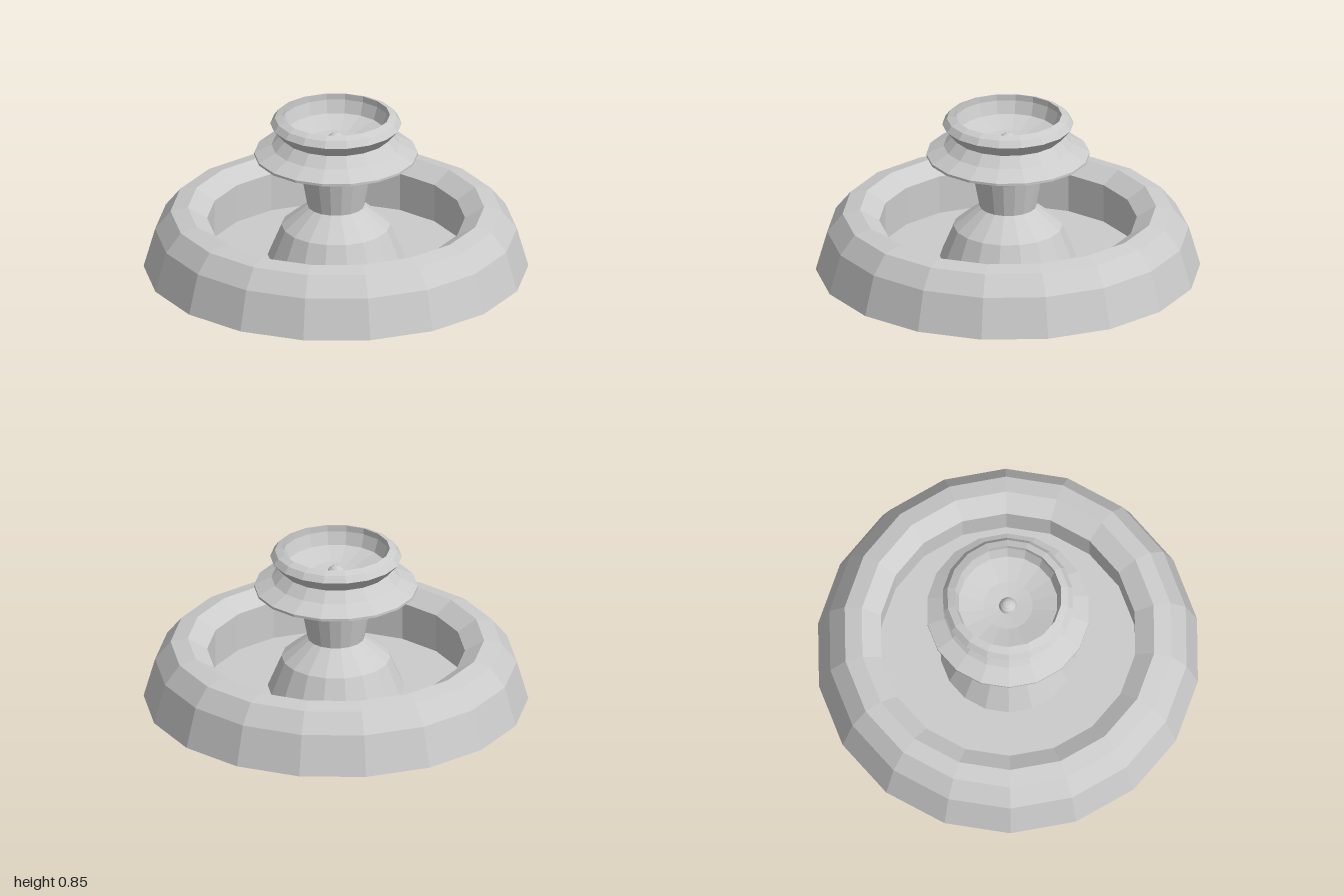
import * as THREE from 'three';

const SIDES = 18;

// Faceted turned part from [radius, height] points
function turned(name, points) {
  const geometry = new THREE.LatheGeometry(points.map(([r, y]) => new THREE.Vector2(r, y)), SIDES);
  const material = new THREE.MeshStandardMaterial({
    color: 0xcccccc, flatShading: true, side: THREE.DoubleSide,
  });
  const mesh = new THREE.Mesh(geometry, material);
  mesh.name = name;
  return mesh;
}

export function createModel() {
  const fountain = new THREE.Group();
  fountain.name = 'fountain';
  fountain.add(
    // Hollow outer wall, open underneath, with a rounded rim
    turned('basinWall', [[1, 0], [0.94, 0.21], [0.86, 0.31], [0.77, 0.33], [0.67, 0.27], [0.67, 0.065]]),
    // Pool floor, open under the pedestal
    turned('basinFloor', [[0.67, 0.065], [0.355, 0.065]]),
    // Flared foot and slim neck
    turned('pedestal', [[0.355, 0.065], [0.283, 0.235], [0.16, 0.335], [0.148, 0.345], [0.182, 0.526], [0.21, 0.6]]),
    // Wide skirt, waist and rolled lip
    turned('upperBowl', [
      [0.21, 0.6], [0.425, 0.627], [0.425, 0.64], [0.335, 0.685], [0.285, 0.74],
      [0.342, 0.805], [0.318, 0.838], [0.28, 0.853],
    ]),
    // Dished inside of the bowl
    turned('bowlInterior', [[0.28, 0.853], [0.28, 0.82], [0.258, 0.752], [0.13, 0.715], [0, 0.7]]),
    // Small domed water spout
    turned('spout', [[0.035, 0.68], [0.047, 0.71], [0.04, 0.732], [0.026, 0.746], [0.012, 0.752], [0, 0.752]]),
  );
  return fountain;
}
